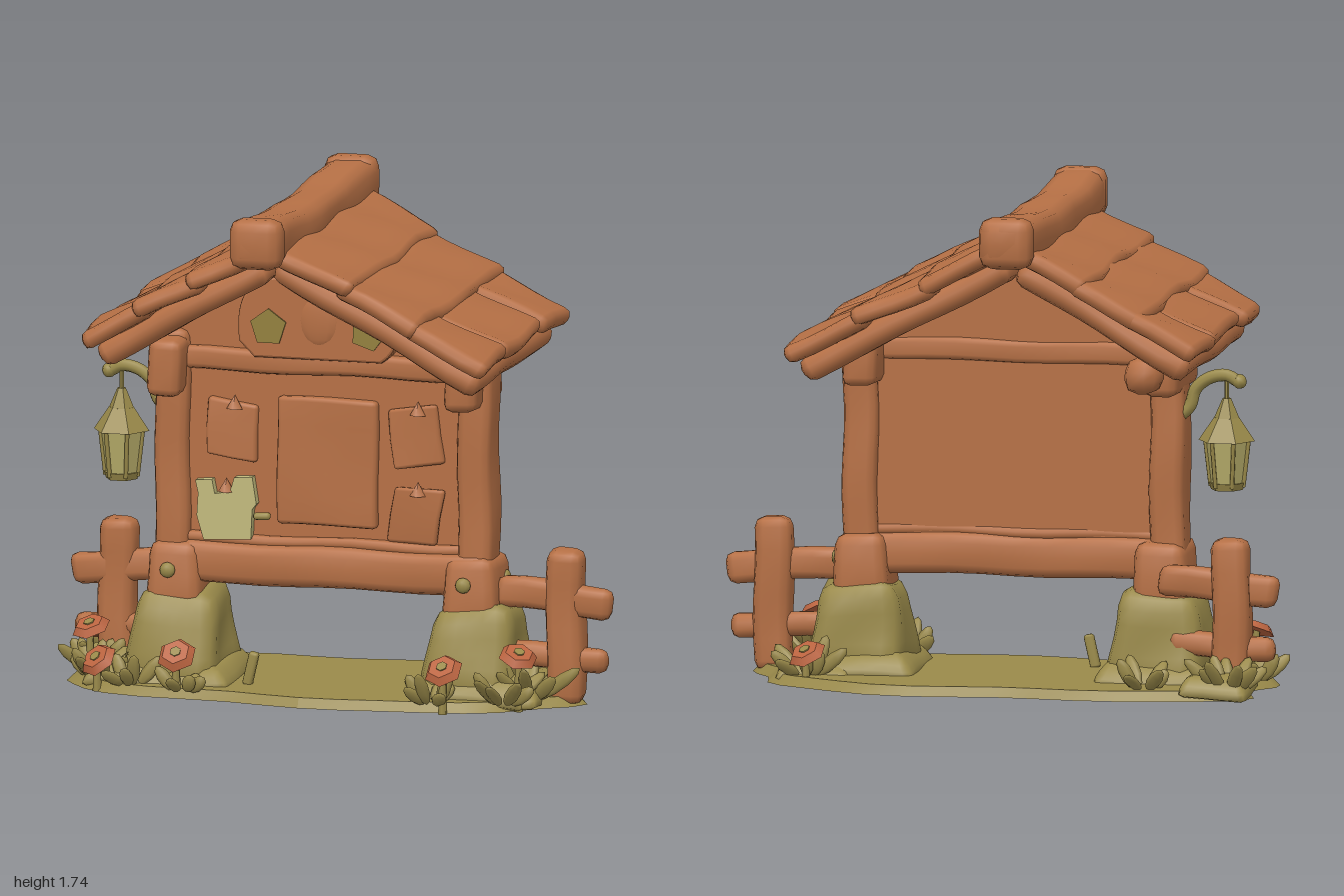
import * as THREE from 'three';
import { mergeVertices } from 'three/addons/utils/BufferGeometryUtils.js';

const paint = (name, color) => Object.assign(new THREE.MeshStandardMaterial({ color }), { name });

export function createModel() {
  const root = new THREE.Group();
  root.name = 'noticeBoard';
  const wood = paint('wood', 0xb67045);
  const moss = paint('moss', 0x9a8a4a);
  const paper = paint('palePaper', 0xc2ba7c);
  const glass = paint('lanternGlass', 0xb4aa68);
  const cap = paint('mushroomCap', 0xbb6440);
  const patch = paint('leafPatch', 0x93803e);

  let seed = 7;
  const rnd = (a, b) => {
    seed = (seed * 16807) % 2147483647;
    return a + (b - a) * (seed / 2147483647);
  };

  const add = (name, geo, mat, [x, y, z] = [0, 0, 0], parent = root) => {
    const m = new THREE.Mesh(geo, mat);
    m.name = name;
    m.position.set(x, y, z);
    parent.add(m);
    return m;
  };

  // Carved block: rounded edges, optional taper to the top, wobble and a bend rule
  const smooth = (geo) => {
    geo.deleteAttribute('uv');
    geo.deleteAttribute('normal');
    const g = mergeVertices(geo, 1e-4);
    g.computeVertexNormals();
    return g;
  };
  function block(name, mat, size, pos, { r = 0.025, taper = 1, wob = 0.004, rot = 0, bend, parent = root } = {}) {
    const n = size.map((s) => Math.min(12, Math.max(3, Math.round(s / 0.09) + 2)));
    const geo = new THREE.BoxGeometry(...size, ...n);
    const p = geo.attributes.position, v = new THREE.Vector3(), q = new THREE.Vector3();
    for (let i = 0; i < p.count; i++) {
      v.fromBufferAttribute(p, i);
      ['x', 'y', 'z'].forEach((a, k) => {
        const h = size[k] / 2, rr = Math.min(r, h * 0.8), idx = Math.round(((v[a] + h) / size[k]) * n[k]);
        if (idx > 0 && idx < n[k]) v[a] = (h - rr) * (((idx - 1) / (n[k] - 2)) * 2 - 1);
        q[a] = THREE.MathUtils.clamp(v[a], rr - h, h - rr);
      });
      v.sub(q);
      if (v.lengthSq() > 0) v.setLength(Math.min(r, Math.max(Math.abs(v.x), Math.abs(v.y), Math.abs(v.z))));
      v.add(q);
      const t = THREE.MathUtils.lerp(1, taper, v.y / size[1] + 0.5);
      v.x *= t;
      v.z *= t;
      if (bend) bend(v);
      const X = v.x + pos[0] * 3, Y = v.y + pos[1] * 3, Z = v.z + pos[2] * 3;
      v.x += wob * Math.sin(Y * 13 + Z * 9);
      v.y += wob * Math.sin(X * 11 + Z * 14);
      v.z += wob * Math.sin(X * 10 + Y * 12);
      p.setXYZ(i, v.x, v.y, v.z);
    }
    const m = add(name, smooth(geo), mat, pos, parent);
    m.rotation.z = rot;
    return m;
  }

  // Ground slab with an uneven rim and a few low humps
  const ground = new THREE.CylinderGeometry(0.96, 1, 0.035, 40, 1);
  const gp = ground.attributes.position;
  for (let i = 0; i < gp.count; i++) {
    const x = gp.getX(i), z = gp.getZ(i), a = Math.atan2(z, x);
    const k = 1 + 0.04 * Math.sin(a * 5 + 1) + 0.03 * Math.sin(a * 9);
    const sq = 1 + 0.12 * Math.sin(2 * a) ** 2;
    gp.setXYZ(i, x * k * sq * 0.89 - 0.045, gp.getY(i), z * k * sq * 0.385 + 0.115);
  }
  ground.computeVertexNormals();
  add('ground', ground, moss, [0, 0.0175, 0]);
  for (const [x, z, w, d] of [[0.64, 0.14, 0.28, 0.52], [-0.8, -0.08, 0.26, 0.32], [-0.7, 0.25, 0.36, 0.3]])
    block('groundHump', moss, [w, 0.07, d], [x, 0.045, z], { r: 0.03, taper: 0.75, wob: 0.008 });

  // Mounds, post feet, posts and head braces
  for (const [s, x] of [['right', -0.555], ['left', 0.51]]) {
    block(s + 'Mound', moss, [0.35, 0.33, 0.41], [x, 0.178, 0.165], { r: 0.06, taper: 0.76, wob: 0.01 });
    block(s + 'MoundSkirt', moss, [0.46, 0.09, 0.5], [x, 0.055, 0.17], { r: 0.035, taper: 0.75, wob: 0.008 });
    block(s + 'PostFoot', wood, [0.2, 0.22, 0.28], [x - 0.01, 0.4, 0.165], { r: 0.04, taper: 0.85 });
    block(s + 'Post', wood, [0.122, 0.95, 0.17], [x + (x < 0 ? -0.025 : 0), 0.78, 0.165], { r: 0.03 });
    block(s + 'Brace', wood, [0.12, 0.2, 0.36], [x + (x < 0 ? -0.025 : -0.02), 1.135, 0.17], { r: 0.03 });
    const knob = add(s + 'MossKnob', new THREE.IcosahedronGeometry(0.028, 1), moss, [x - 0.02, 0.42, 0.3]);
    knob.scale.z = 0.7;
    const side = add(s + 'SideMoss', new THREE.IcosahedronGeometry(0.028, 1), moss, [x + Math.sign(x) * 0.085, 0.42, 0.11]);
    side.scale.x = 0.5;
  }

  // Board wall running up into the gable
  const gable = new THREE.Shape([[-0.56, 0.42], [0.48, 0.42], [0.48, 1.24], [-0.16, 1.56], [-0.56, 1.34]]
    .map(([x, y]) => new THREE.Vector2(x, y)));
  add('wall', new THREE.ExtrudeGeometry(gable, { depth: 0.08, bevelEnabled: false }), wood, [0, 0, 0.125]);
  block('bottomBeam', wood, [1.2, 0.145, 0.17], [-0.035, 0.443, 0.18], { r: 0.035 });
  block('middleBeam', wood, [1.05, 0.04, 0.11], [-0.04, 0.525, 0.175], { r: 0.015 });
  block('topBeam', wood, [1.1, 0.08, 0.13], [-0.04, 1.16, 0.175], { r: 0.02 });

  // Gable plaque with two leaf patches
  const plaque = new THREE.Shape();
  plaque.moveTo(-0.27, 1.19);
  plaque.lineTo(0.18, 1.19);
  plaque.quadraticCurveTo(0.26, 1.24, 0.22, 1.36);
  plaque.lineTo(0.08, 1.45);
  plaque.quadraticCurveTo(-0.1, 1.49, -0.24, 1.45);
  plaque.quadraticCurveTo(-0.34, 1.41, -0.32, 1.24);
  add('gablePlaque', new THREE.ExtrudeGeometry(plaque,
    { depth: 0.05, bevelSize: 0.01, bevelThickness: 0.015, bevelSegments: 2 }), wood, [0, 0, 0.2]);
  const nub = add('plaqueNub', new THREE.SphereGeometry(0.08, 12, 8), wood, [-0.04, 1.32, 0.258]);
  nub.scale.set(0.9, 1.15, 0.22);
  for (const x of [-0.22, 0.14]) {
    const leaf = add('plaqueLeaf', new THREE.CylinderGeometry(0.067, 0.067, 0.008, 5), patch, [x, 1.29, 0.269]);
    leaf.rotation.set(Math.PI / 2, x < 0 ? Math.PI : 0.3, 0);
  }

  // Pinned notices
  block('mainNotice', wood, [0.36, 0.45, 0.05], [-0.02, 0.815, 0.215], { r: 0.015, wob: 0.003 });
  const pin = (x, y) => add('noticePin', new THREE.ConeGeometry(0.03, 0.05, 5), wood, [x, y, 0.232]);
  for (const [x, y, w, h, rot] of [[-0.36, 0.915, 0.18, 0.2, -0.08], [0.3, 0.92, 0.18, 0.21, 0.08], [0.3, 0.64, 0.18, 0.2, -0.1]]) {
    block('smallNotice', wood, [w, h, 0.035], [x, y, 0.215], { r: 0.012, rot, wob: 0.008 });
    pin(x + 0.01, y + h / 2);
  }
  const torn = new THREE.Shape([[-0.08, -0.115], [0.09, -0.105], [0.095, 0], [0.11, 0.02], [0.095, 0.115], [0.03, 0.11], [0.015, 0.06],
    [-0.04, 0.05], [-0.05, 0.1], [-0.11, 0.095], [-0.1, 0.05], [-0.105, -0.03]].map(([x, y]) => new THREE.Vector2(x, y)));
  add('paleNotice', new THREE.ExtrudeGeometry(torn, { depth: 0.035, bevelEnabled: false }), paper, [-0.38, 0.638, 0.21]);
  block('noticeTwig', moss, [0.06, 0.025, 0.03], [-0.25, 0.61, 0.225], { r: 0.01 });
  pin(-0.38, 0.72);

  // Roof: ridge log, inner slabs and overlapping shingle courses
  block('ridgeLog', wood, [0.18, 0.17, 1.34], [-0.165, 1.62, 0], {
    r: 0.045, wob: 0.004, bend: (v) => { v.y += 0.035 * (v.z / 0.67) ** 2; },
  });
  for (const z of [-0.61, 0.61]) block('ridgeCap', wood, [0.185, 0.175, 0.12], [-0.165, 1.652, z], { r: 0.04, wob: 0 });
  const slopes = [
    { s: 'left', dir: 1, x: -0.12, y: 1.585, len: 0.81, ang: -0.49 },
    { s: 'right', dir: -1, x: -0.2, y: 1.575, len: 0.67, ang: 0.52 },
  ];
  for (const { s, dir, x, y, len, ang } of slopes) {
    const g = new THREE.Group();
    g.name = s + 'RoofSlope';
    g.position.set(x, y, 0);
    g.rotation.z = ang;
    root.add(g);
    block('roofSlab', wood, [len + 0.02, 0.09, 0.98], [dir * (len * 0.5 + 0.01), -0.045, 0], { r: 0.035, parent: g });
    const step = len / 3;
    for (let i = 0; i < 3; i++) {
      const spans = i === 2 ? [[-0.55, -0.25], [-0.245, 0.235], [0.24, 0.55]] : [[-0.575 + i * 0.012, 0.57 - i * 0.012]];
      spans.forEach(([a, b], j) => block('shingle', wood, [step + 0.05, 0.064, b - a],
        [dir * (step * (i + 0.5) + (j === 1 ? -0.012 : 0)), 0.028 + (j === 1 ? -0.006 : 0), (a + b) / 2],
        { r: 0.028, rot: dir * 0.06, wob: 0.008, parent: g }));
    }
  }
  block('purlinStub', wood, [0.13, 0.13, 0.14], [-0.6, 1.165, -0.37], { r: 0.05 });

  // Side fences
  for (const [s, d, z] of [['right', -1, 0.015], ['left', 1, 0.18]]) {
    block(s + 'FencePost', wood, [0.13, 0.54, 0.125], [d * 0.83, 0.277, z], { r: 0.035, wob: 0.005 });
    block(s + 'UpperRail', wood, [0.42, 0.11, 0.08], [d * 0.785, 0.375, z + 0.01], { r: 0.03, wob: 0.008, rot: d * -0.05 });
    block(s + 'LowerRail', wood, [0.38, 0.085, 0.08], [d * 0.8, 0.165, z + 0.01], { r: 0.03, wob: 0.008 });
  }

  // Lantern on a curled branch
  const lz = 0.12;
  const branch = new THREE.CatmullRomCurve3([[-0.62, 0.95], [-0.66, 0.99], [-0.68, 1.05], [-0.73, 1.09], [-0.79, 1.1], [-0.83, 1.08]]
    .map(([x, y]) => new THREE.Vector3(x, y, lz)));
  add('lanternBranch', new THREE.TubeGeometry(branch, 20, 0.022, 8), moss);
  add('branchTip', new THREE.SphereGeometry(0.026, 8, 6), moss, [-0.835, 1.08, lz]);
  const lantern = new THREE.Group();
  lantern.name = 'lantern';
  lantern.position.set(-0.79, 0, lz);
  root.add(lantern);
  const hex = (name, top, bottom, h, y, mat) => {
    const geo = new THREE.CylinderGeometry(top, bottom, h, 6).toNonIndexed();
    geo.computeVertexNormals();
    const m = add(name, geo, mat, [0, y, 0], lantern);
    m.rotation.y = Math.PI / 6;
  };
  hex('lanternHook', 0.008, 0.008, 0.1, 1.05, moss);
  hex('lanternSpire', 0.015, 0.045, 0.07, 0.985, moss);
  hex('lanternRoof', 0.045, 0.1, 0.08, 0.912, moss);
  hex('lanternPanes', 0.076, 0.057, 0.16, 0.8, glass);
  hex('lanternBase', 0.066, 0.056, 0.025, 0.712, moss);
  for (let i = 0; i < 6; i++) {
    const a = ((i + 0.5) * Math.PI) / 3;
    const bar = new THREE.TubeGeometry(new THREE.LineCurve3(
      new THREE.Vector3(Math.sin(a) * 0.078, 0.88, Math.cos(a) * 0.078),
      new THREE.Vector3(Math.sin(a) * 0.058, 0.71, Math.cos(a) * 0.058)), 1, 0.008, 5);
    add('lanternBar', bar, moss, [0, 0, 0], lantern);
  }

  // Leaf tufts
  const blade = new THREE.SphereGeometry(0.5, 6, 5).translate(0, 0.5, 0);
  const up = new THREE.Vector3(0, 1, 0);
  for (const [x, z, count, size] of [[-0.82, 0.3, 10, 0.14], [-0.88, 0.14, 7, 0.12], [-0.85, -0.14, 9, 0.15], [-0.68, 0.4, 7, 0.12],
    [-0.48, 0.46, 6, 0.1], [0.42, 0.46, 8, 0.12], [0.66, 0.4, 9, 0.15], [0.72, 0.28, 9, 0.18], [0.66, -0.08, 8, 0.14], [-0.55, -0.14, 6, 0.12]]) {
    for (let i = 0; i < count; i++) {
      const a = (i / count) * Math.PI * 2 + rnd(-0.3, 0.3), lean = rnd(0.3, 1.5), l = size * rnd(0.7, 1.15);
      const leaf = add('leaf', blade, moss, [x + Math.cos(a) * 0.03, 0.03, z + Math.sin(a) * 0.03]);
      leaf.scale.set(0.05, l, 0.025);
      leaf.quaternion.setFromUnitVectors(up, new THREE.Vector3(Math.cos(a) * lean, 1, Math.sin(a) * lean).normalize());
    }
  }
  block('twig', moss, [0.035, 0.12, 0.035], [-0.27, 0.09, 0.3], { r: 0.01, rot: -0.2 });

  // Mushrooms
  for (const [x, y, z, tx, tz] of [[-0.87, 0.2, 0.24, 0.4, 0.2], [-0.8, 0.115, 0.4, 0.7, 0.4], [-0.51, 0.15, 0.42, 0.8, 0],
    [0.47, 0.16, 0.49, 0.7, 0.1], [0.71, 0.2, 0.37, 0.4, -0.3], [0.65, 0.12, -0.13, -0.5, -0.3]]) {
    const m = new THREE.Group();
    m.name = 'mushroom';
    m.position.set(x, y, z);
    m.rotation.set(tx, 0, tz);
    root.add(m);
    add('mushroomCap', new THREE.CylinderGeometry(0.05, 0.07, 0.025, 6), cap, [0, 0, 0], m);
    add('mushroomSpot', new THREE.CylinderGeometry(0.02, 0.02, 0.006, 6), moss, [0, 0.014, 0], m);
    add('mushroomStem', new THREE.CylinderGeometry(0.012, 0.016, y, 6), moss, [x, y / 2, z]);
  }
  return root;
}
